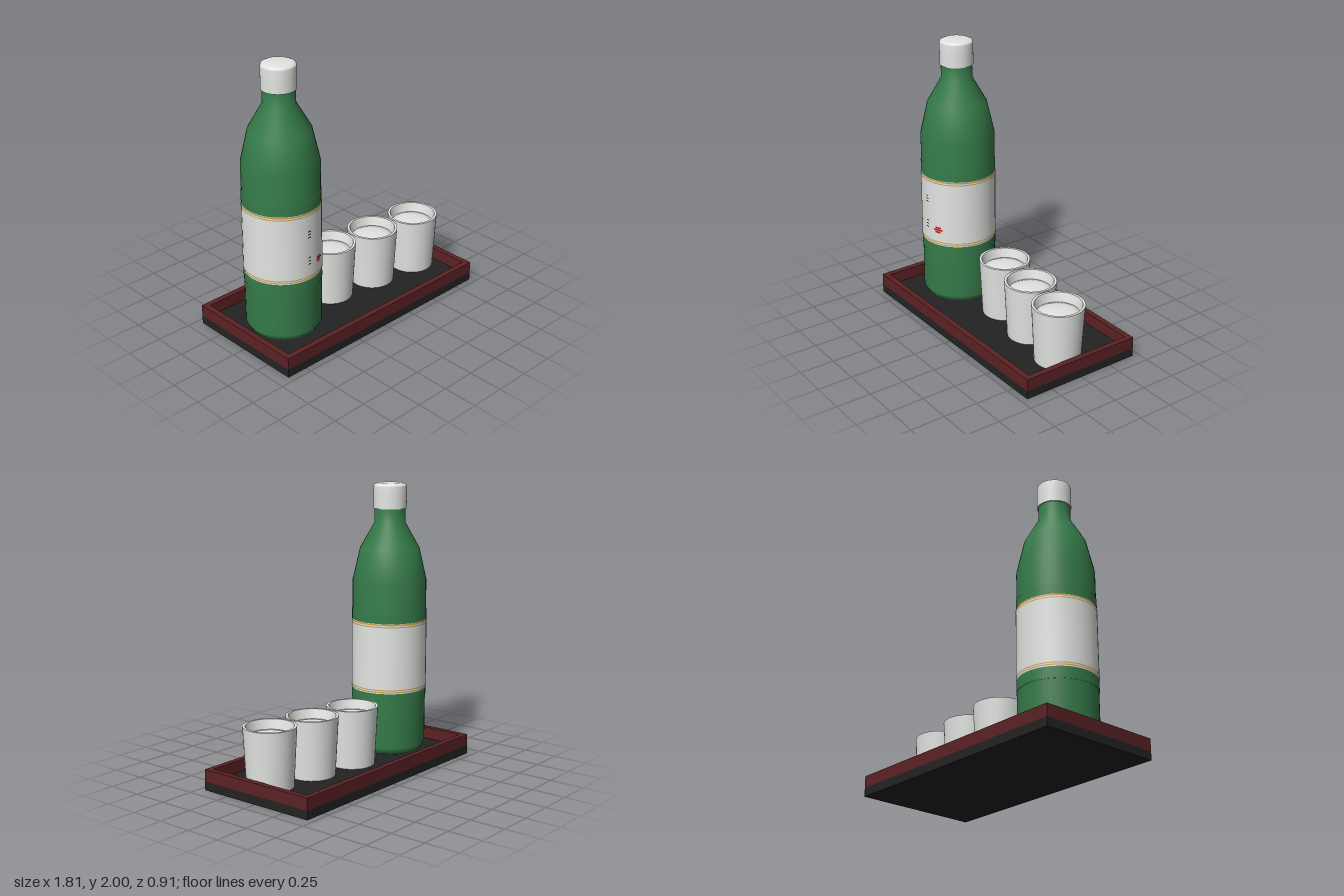
import * as THREE from 'three';

const mat = (name, color) => {
  const m = new THREE.MeshStandardMaterial({ color });
  m.name = name;
  return m;
};
const green = mat('bottle green', 0x367c4a);
const white = mat('white', 0xe2e5e1);
const gold = mat('gold', 0xd0a050);
const maroon = mat('maroon lacquer', 0x5c2224);
const black = mat('black lacquer', 0x232323);
const red = mat('seal red', 0xc8202a);

const add = (group, name, geometry, material, x = 0, y = 0, z = 0) => {
  const mesh = new THREE.Mesh(geometry, material);
  mesh.name = name;
  mesh.position.set(x, y, z);
  group.add(mesh);
  return mesh;
};
const lathe = (points, segments = 40) =>
  new THREE.LatheGeometry(points.map(([r, y]) => new THREE.Vector2(r, y)), segments);

const FLOOR = 0.062;

function makeTray() {
  const g = new THREE.Group();
  g.name = 'tray';
  add(g, 'trayBase', new THREE.BoxGeometry(1.81, FLOOR, 0.91), black, 0, FLOOR / 2, 0);

  // Raised rim, one frame with a rectangular opening
  const frame = new THREE.Shape([[-0.905, -0.455], [0.905, -0.455], [0.905, 0.455], [-0.905, 0.455]]
    .map(([x, y]) => new THREE.Vector2(x, y)));
  frame.holes.push(new THREE.Path([[-0.863, -0.413], [-0.863, 0.413], [0.863, 0.413], [0.863, -0.413]]
    .map(([x, y]) => new THREE.Vector2(x, y))));
  const rim = new THREE.ExtrudeGeometry(frame, { depth: 0.147 - FLOOR, bevelEnabled: false });
  rim.rotateX(-Math.PI / 2);
  add(g, 'trayRim', rim, maroon, 0, FLOOR, 0);
  return g;
}

// Thin curved plate wrapped round the bottle, centred on angle a from the front
function band(r, y0, y1, a = 0, arc = Math.PI * 2) {
  const geo = new THREE.CylinderGeometry(r, r, y1 - y0, arc > 1 ? 40 : 4, 1, true, a - arc / 2, arc);
  geo.translate(0, (y0 + y1) / 2, 0);
  return geo;
}

function makeBottle() {
  const g = new THREE.Group();
  g.name = 'bottle';
  add(g, 'bottleBody', lathe([
    [0, FLOOR + 0.002], [0.235, FLOOR + 0.002], [0.265, 0.115], [0.265, 0.7], [0.265, 1.31],
    [0.212, 1.54], [0.11, 1.72], [0.11, 1.84],
  ]), green);
  add(g, 'sleeve', lathe([[0.264, 0.44], [0.2685, 0.441], [0.2685, 1.099], [0.264, 1.1]]), green);

  // Label with a pair of gold lines at each end
  add(g, 'label', band(0.27, 0.52, 1.028), white);
  for (const [y0, y1] of [[0.527, 0.535], [0.542, 0.549], [1.0, 1.007], [1.015, 1.026]])
    add(g, 'goldLine', band(0.2715, y0, y1), gold);

  // Small abstract printed marks and a red seal
  for (const y of [0.64, 0.665, 0.69, 0.84, 0.862, 0.884])
    add(g, 'printMark', band(0.2715, y - 0.004, y + 0.004, 0.01, 0.09), black);
  for (const [y, arc] of [[0.623, 0.16], [0.64, 0.26], [0.657, 0.18]])
    add(g, 'redSeal', band(0.2715, y - 0.007, y + 0.007, 0.39, arc), red);

  // Cap: underside, side and softened top
  const cap = new THREE.Group();
  cap.name = 'cap';
  add(cap, 'capUnderside', lathe([[0.1, 1.82], [0.118, 1.82]]), white);
  add(cap, 'capSide', lathe([[0.118, 1.82], [0.118, 1.9], [0.118, 1.975], [0.114, 1.988], [0.09, 1.998], [0, 2]]), white);
  g.add(cap);
  g.position.set(-0.54, 0, 0);
  return g;
}

function makeCup(x, z) {
  const g = new THREE.Group();
  g.name = 'cup';
  add(g, 'cupBottom', lathe([[0, FLOOR + 0.002], [0.16, FLOOR + 0.002]]), white);
  add(g, 'cupWall', lathe([[0.16, FLOOR + 0.002], [0.182, 0.482]]), white);
  add(g, 'cupRim', lathe([[0.182, 0.482], [0.164, 0.482]]), white);
  add(g, 'cupInnerWall', lathe([[0.164, 0.482], [0.148, 0.41]]), white);
  // Softly rounded filling just below the rim
  add(g, 'cupFilling', lathe([[0.149, 0.39], [0.146, 0.415], [0.1, 0.424], [0.05, 0.429], [0, 0.43]]), white);
  g.position.set(x, 0, z);
  return g;
}

export function createModel() {
  const model = new THREE.Group();
  model.name = 'bottleAndCupsOnTray';
  model.add(makeTray(), makeBottle());
  for (const [x, z] of [[-0.043, -0.055], [0.328, -0.004], [0.7, 0.045]]) model.add(makeCup(x, z));
  return model;
}
